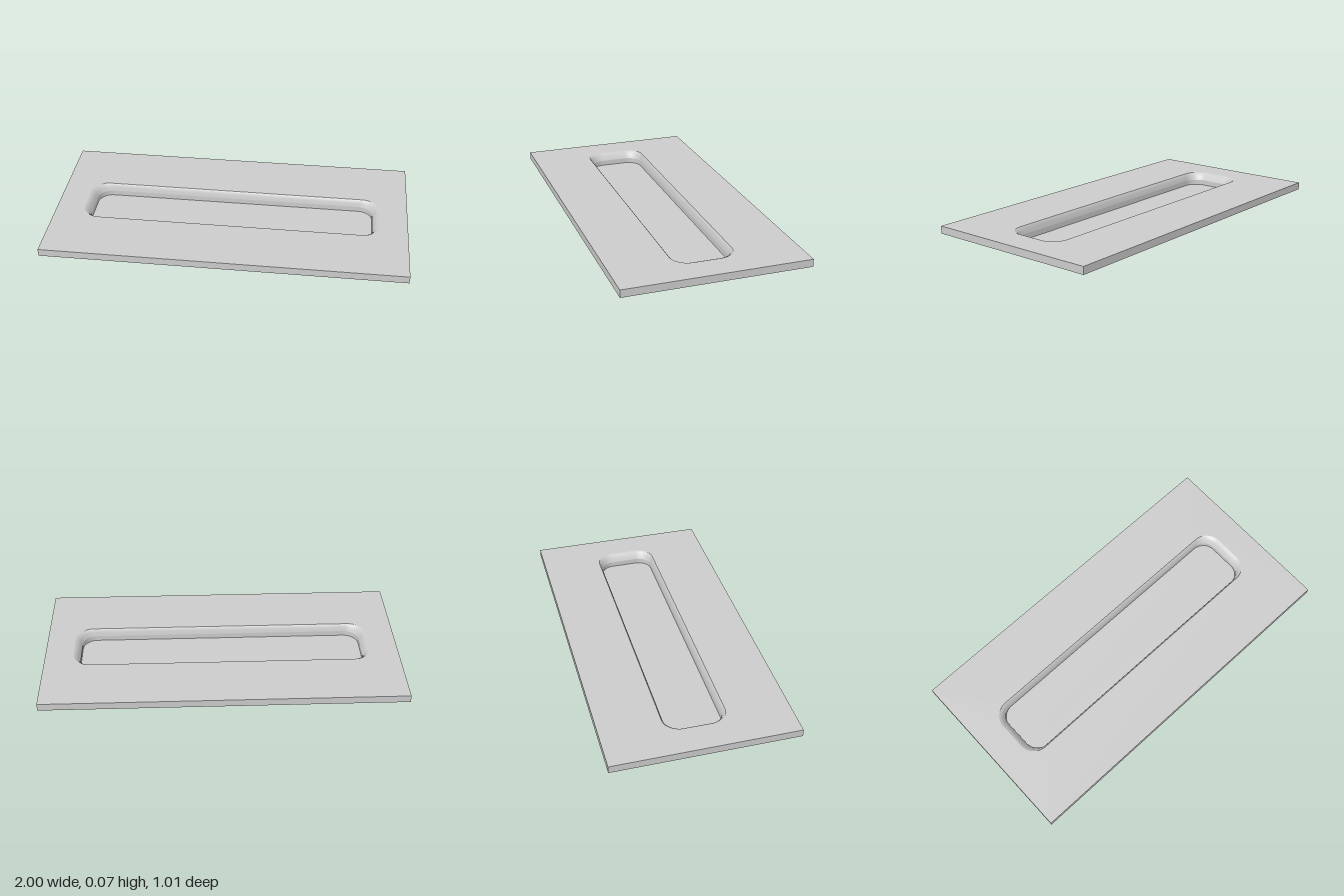
import * as THREE from 'three';

const TOP = 0.072, SKIRT = 0.03, HX = 1, HZ = 0.507;

// rounded rectangle outline, counter-clockwise in shape space
function roundedRect(hx, hz, r, steps = 10) {
  const pts = [];
  const corners = [[1, 1], [-1, 1], [-1, -1], [1, -1]];
  corners.forEach(([sx, sz], c) => {
    for (let i = 0; i <= steps; i++) {
      const a = (c + i / steps) * Math.PI / 2;
      pts.push(new THREE.Vector2(sx * (hx - r) + r * Math.cos(a), sz * (hz - r) + r * Math.sin(a)));
    }
  });
  return pts;
}

// surface through a stack of outlines, listed from the top down
function band(rows) {
  const n = rows[0].pts.length, pos = [], idx = [];
  rows.forEach(({ pts, y }) => pts.forEach(p => pos.push(p.x, y, -p.y)));
  for (let j = 0; j < rows.length - 1; j++) {
    for (let i = 0; i < n; i++) {
      const k = (i + 1) % n;
      const a = j * n + i, b = j * n + k, c = a + n, d = b + n;
      idx.push(a, b, c, b, d, c);
    }
  }
  const g = new THREE.BufferGeometry();
  g.setAttribute('position', new THREE.Float32BufferAttribute(pos, 3));
  g.setIndex(idx);
  g.computeVertexNormals();
  return g;
}

export function createModel() {
  const group = new THREE.Group();
  const mat = new THREE.MeshStandardMaterial({ color: 0xcccccc, side: THREE.DoubleSide });
  const add = (name, geo) => {
    const m = new THREE.Mesh(geo, mat);
    m.name = name;
    group.add(m);
    return m;
  };
  const flat = (shape, y) => new THREE.ShapeGeometry(shape).rotateX(-Math.PI / 2).translate(0, y, 0);

  // outline of the recess, from rim (t = 0) to wall (t = 1)
  const recess = t => roundedRect(0.84 - 0.036 * t, 0.171 - 0.016 * t, 0.095 - 0.015 * t);

  // top plate with the recess cut out
  const plate = new THREE.Shape([[-HX, -HZ], [HX, -HZ], [HX, HZ], [-HX, HZ]].map(p => new THREE.Vector2(...p)));
  plate.holes.push(new THREE.Path(recess(0)));
  add('topPlate', flat(plate, TOP));

  // thin outer skirt, open below
  const h = TOP - SKIRT;
  for (const [name, w, x, z, turn] of [
    ['skirtFront', 2 * HX, 0, HZ, 0], ['skirtBack', 2 * HX, 0, -HZ, Math.PI],
    ['skirtLeft', 2 * HZ, HX, 0, Math.PI / 2], ['skirtRight', 2 * HZ, -HX, 0, -Math.PI / 2],
  ]) {
    const m = add(name, new THREE.PlaneGeometry(w, h));
    m.position.set(x, SKIRT + h / 2, z);
    m.rotation.y = turn;
  }

  // sloped lip, upright wall and floor of the recess
  const lip = [[0, TOP], [0.35, 0.066], [0.7, 0.052], [1, SKIRT]];
  add('recessLip', band(lip.map(([t, y]) => ({ pts: recess(t), y }))));
  add('recessWall', band([{ pts: recess(1), y: SKIRT }, { pts: recess(1), y: 0 }]));
  add('recessFloor', flat(new THREE.Shape(recess(1)), 0));

  return group;
}
